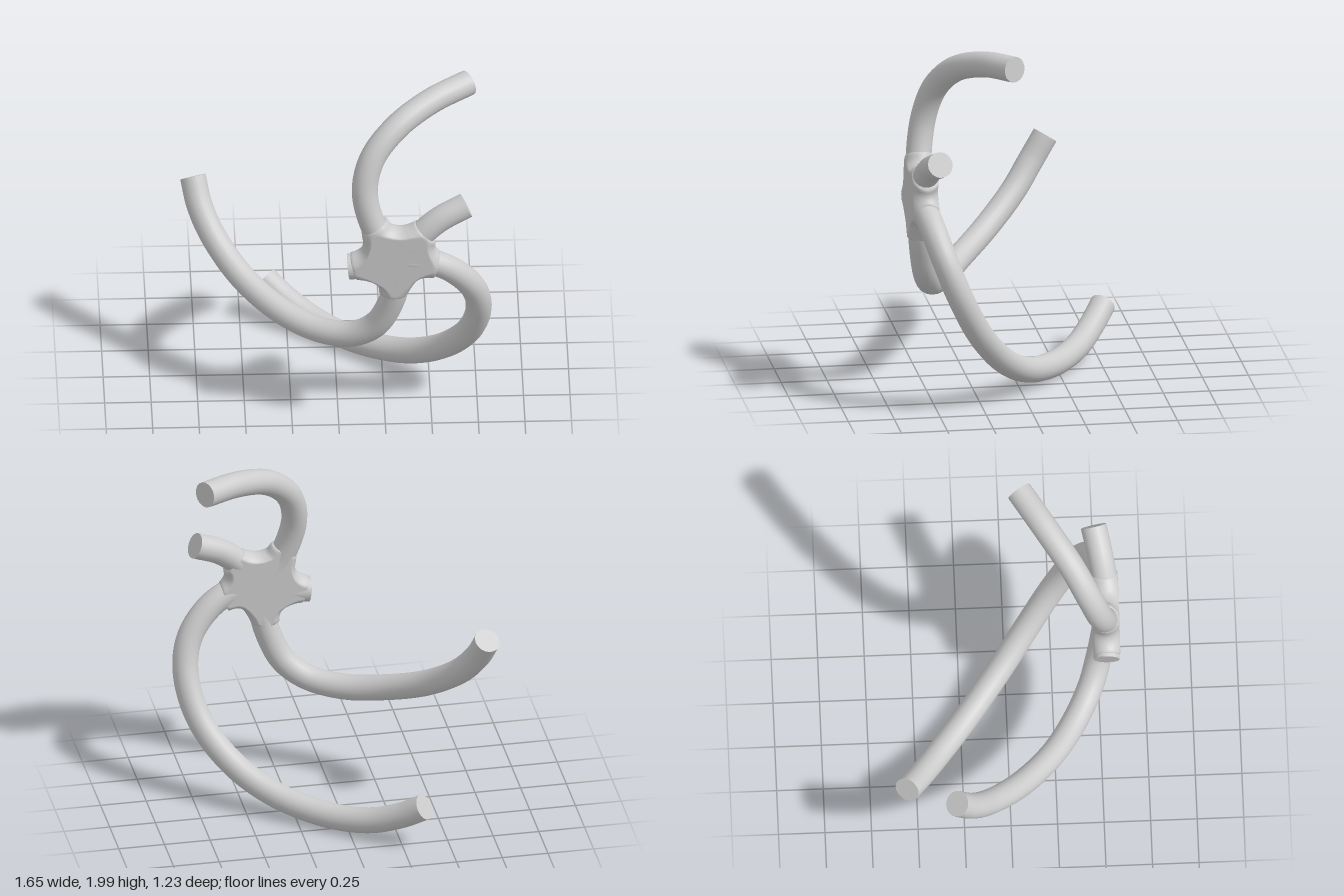
import * as THREE from 'three';
import { mergeVertices } from 'three/addons/utils/BufferGeometryUtils.js';

const RADIUS = 0.07;
const CENTRE = [0.3, 1.11, 0.54];

// Centre line of each arm, starting at the hub
const ARMS = {
  upperArm: [CENTRE, [0.2, 1.27, 0.535], [0.14, 1.5, 0.5], [0.18, 1.68, 0.445], [0.31, 1.82, 0.355],
    [0.5, 1.9, 0.225], [0.71, 1.928, 0.09]],
  shortRightArm: [CENTRE, [0.42, 1.235, 0.54], [0.54, 1.335, 0.52], [0.685, 1.403, 0.49]],
  longRightArm: [CENTRE, [0.45, 1.09, 0.54], [0.6, 1.01, 0.515], [0.72, 0.86, 0.465], [0.755, 0.68, 0.395],
    [0.7, 0.45, 0.28], [0.55, 0.25, 0.13], [0.35, 0.125, -0.03], [0.1, 0.075, -0.22],
    [-0.1, 0.1, -0.37], [-0.25, 0.17, -0.475], [-0.362, 0.25, -0.553]],
  lowerArm: [CENTRE, [0.31, 0.95, 0.54], [0.275, 0.8, 0.525], [0.2, 0.65, 0.495], [0.08, 0.56, 0.45],
    [-0.1, 0.53, 0.36], [-0.3, 0.57, 0.235], [-0.5, 0.67, 0.06], [-0.65, 0.82, -0.11],
    [-0.725, 0.96, -0.215], [-0.758, 1.09, -0.3]],
  leftStub: [CENTRE, [0.18, 1.065, 0.54], [0.05, 1.05, 0.535]],
};

const vec = (p) => new THREE.Vector3(...p);
const material = new THREE.MeshStandardMaterial({ color: 0xcccccc });

// Round bar along a curve with a flat outer end
function makeArm(name, points) {
  const arm = new THREE.Group();
  arm.name = name;
  const curve = new THREE.CatmullRomCurve3(points.map(vec));
  const bar = new THREE.Mesh(new THREE.TubeGeometry(curve, points.length * 8, RADIUS, 20), material);
  bar.name = name + 'Bar';
  const end = new THREE.Mesh(new THREE.CircleGeometry(RADIUS, 20), material);
  end.name = name + 'End';
  end.position.copy(curve.getPoint(1));
  end.quaternion.setFromUnitVectors(new THREE.Vector3(0, 0, 1), curve.getTangent(1));
  arm.add(bar, end);
  return arm;
}

// Hub: a sphere pushed outward to the soft union of the arm roots, giving the fillets
function makeHub() {
  const centre = vec(CENTRE);
  const roots = Object.values(ARMS).map(([a, b, c]) => [
    new THREE.Line3(vec(a), vec(b)), new THREE.Line3(vec(b), vec(c))]);
  const blend = 0.047;
  const near = new THREE.Vector3();
  const field = (p) => {
    let sum = 0;
    for (const lines of roots) {
      const d = Math.min(...lines.map((l) => l.closestPointToPoint(p, true, near).distanceTo(p)));
      sum += Math.exp((RADIUS - d) / blend);
    }
    return -blend * Math.log(sum);
  };

  let geometry = new THREE.IcosahedronGeometry(1, 32);
  geometry.deleteAttribute('uv');
  geometry.deleteAttribute('normal');
  geometry = mergeVertices(geometry, 1e-5);
  const position = geometry.attributes.position;
  const dir = new THREE.Vector3();
  const p = new THREE.Vector3();
  for (let i = 0; i < position.count; i++) {
    dir.fromBufferAttribute(position, i).normalize();
    let r = 0.03;
    for (let step = 0; step < 40 && r < 0.24; step++) {
      const d = field(p.copy(centre).addScaledVector(dir, r));
      if (d > -0.0005) break;
      r -= d * 0.8;
    }
    r = Math.min(r, 0.24);
    p.copy(dir).multiplyScalar(r);
    p.z = THREE.MathUtils.clamp(p.z, -RADIUS, RADIUS);
    p.add(centre);
    position.setXYZ(i, p.x, p.y, p.z);
  }
  geometry.computeVertexNormals();
  const hub = new THREE.Mesh(geometry, material);
  hub.name = 'hub';
  return hub;
}

export function createModel() {
  const model = new THREE.Group();
  model.name = 'fiveArmedHook';
  for (const [name, points] of Object.entries(ARMS)) model.add(makeArm(name, points));
  model.add(makeHub());
  return model;
}
